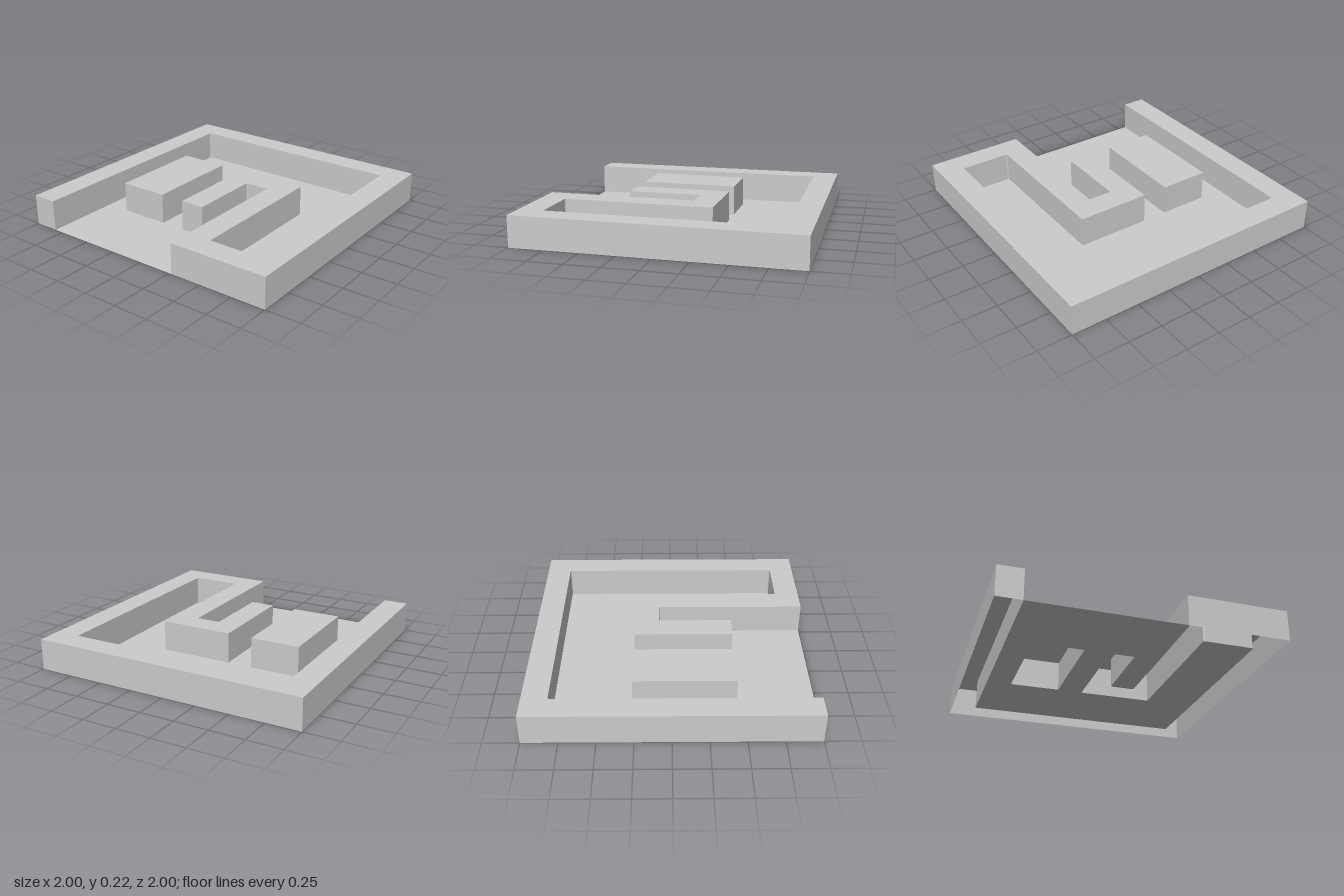
import * as THREE from 'three';

const HEIGHT = 0.224;
const FILLET = 0.012;
const material = new THREE.MeshStandardMaterial({ color: 0xcccccc, side: THREE.DoubleSide, flatShading: true });

// Plan corners are [x, z, rounded]; returns the outline in shape space (x, -z), counter-clockwise
function outline(corners) {
  const points = [];
  corners.forEach(([x, z, rounded], i) => {
    const c = new THREE.Vector2(x, -z);
    if (!rounded) return points.push(c);
    const towards = ([nx, nz]) => new THREE.Vector2(nx, -nz).sub(c).setLength(FILLET).add(c);
    const from = towards(corners[i - 1]);
    const to = towards(corners[i + 1]);
    points.push(...new THREE.QuadraticBezierCurve(from, c, to).getPoints(4));
  });
  return THREE.ShapeUtils.isClockWise(points) ? points.reverse() : points;
}

// Horizontal sheet at height y
function sheet(name, points, y, hole) {
  const shape = new THREE.Shape(points);
  if (hole) shape.holes.push(new THREE.Path(hole));
  const mesh = new THREE.Mesh(new THREE.ShapeGeometry(shape).rotateX(-Math.PI / 2), material);
  mesh.name = name;
  mesh.position.y = y;
  return mesh;
}

// Upright faces around an outline, open at top and bottom
function sides(name, points) {
  const positions = [];
  points.forEach((a, i) => {
    const b = points[(i + 1) % points.length];
    const [a0, b0, b1, a1] = [[a, 0], [b, 0], [b, HEIGHT], [a, HEIGHT]].map(([p, y]) => [p.x, y, -p.y]);
    positions.push(...a0, ...b0, ...b1, ...a0, ...b1, ...a1);
  });
  const geometry = new THREE.BufferGeometry();
  geometry.setAttribute('position', new THREE.Float32BufferAttribute(positions, 3));
  geometry.computeVertexNormals();
  const mesh = new THREE.Mesh(geometry, material);
  mesh.name = name;
  return mesh;
}

// Raised block: top and sides, hollow underneath
function block(name, points) {
  const group = new THREE.Group();
  group.name = name;
  group.add(sheet(name + 'Top', points, HEIGHT), sides(name + 'Sides', points));
  return group;
}

export function createModel() {
  const model = new THREE.Group();
  model.name = 'mazeTile';

  // Edge of the sunken floor, from the back of the side opening round to its front
  const floorEdge = [
    [-1, -0.82], [0.82, -0.82, true], [0.82, 0.82, true], [-0.82, 0.82, true], [-0.82, 0.45, true],
    [0.27, 0.45], [0.27, -0.09], [-0.45, -0.09], [-0.45, 0.09],
    [0.09, 0.09, true], [0.09, 0.27, true], [-1, 0.27],
  ];
  const outerEdge = [[-1, 1], [1, 1], [1, -1], [-1, -1]];
  const island = outline([[-0.45, -0.64], [0.27, -0.64], [0.27, -0.275], [-0.45, -0.275]]);

  // Thin floor with an opening beneath the island
  model.add(sheet('floor', outline(floorEdge), 0, island));
  // Continuous border wall with its hooked inner arm
  model.add(block('wall', outline([...floorEdge, ...outerEdge])));
  // Free-standing block
  model.add(block('island', island));
  return model;
}
